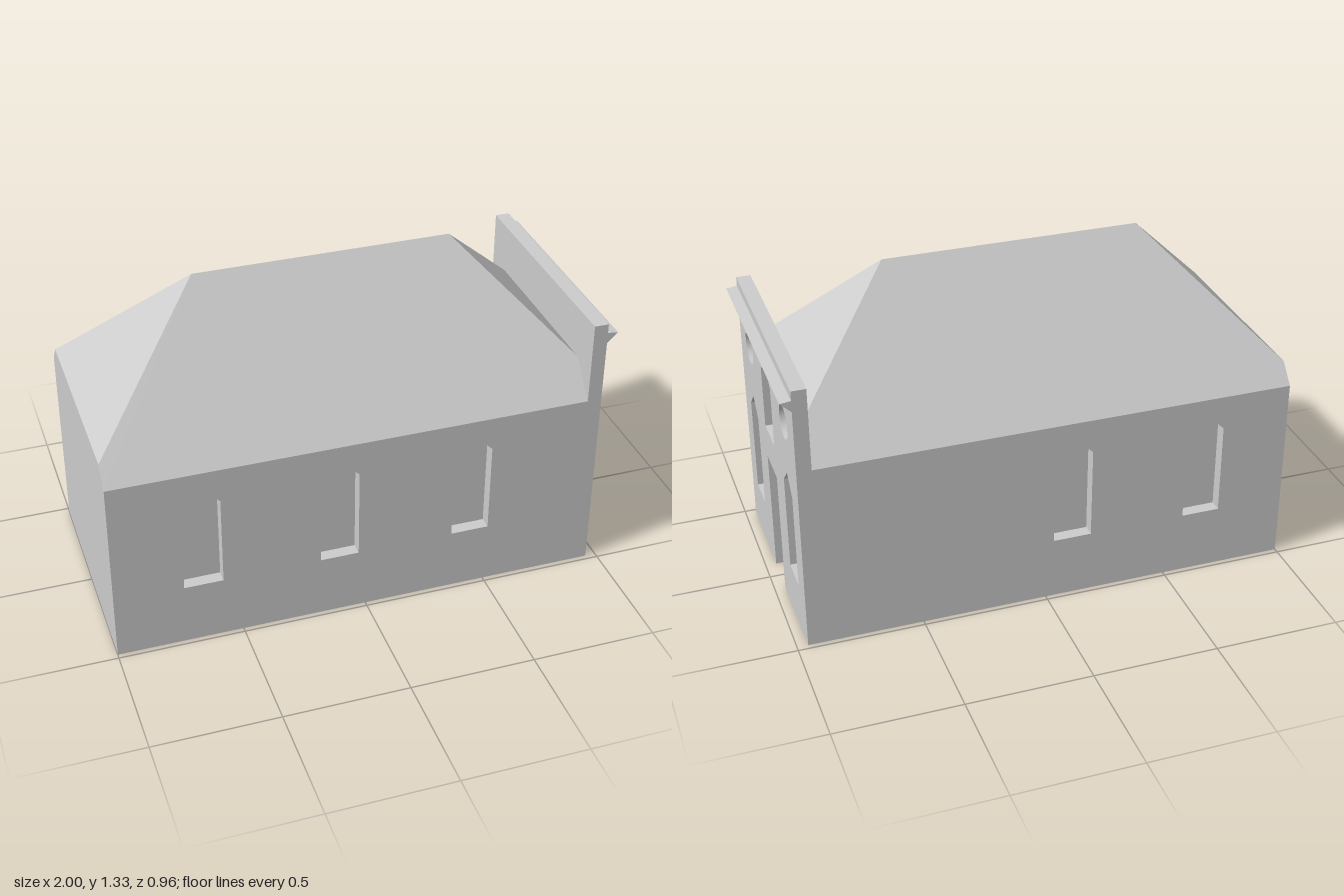
import * as THREE from 'three';

const HALF = 0.48;      // half depth of the building
const RECESS = 0.05;    // depth of windows and door
const FACE = 0.957;     // outer plane of the entrance facade
const PARAPET = 0.9;    // inner plane of the entrance facade
const EAVE = 0.77;
const TOP = 1.105;

const stone = new THREE.MeshStandardMaterial({ color: 0xcccccc });
stone.name = 'pale grey stone';

function add(parent, name, geometry) {
  const mesh = new THREE.Mesh(geometry, stone);
  mesh.name = name;
  parent.add(mesh);
  return mesh;
}

function outline(points) {
  return points.map(([x, y]) => new THREE.Vector2(x, y));
}

// Window opening with a pointed head
function pointedHole(cx, half, sill, shoulder, peak) {
  return new THREE.Path(outline([
    [cx - half, sill], [cx - half, shoulder], [cx, peak], [cx + half, shoulder], [cx + half, sill],
  ]));
}

function box(x0, x1, y0, y1, z0, z1) {
  return new THREE.BoxGeometry(x1 - x0, y1 - y0, z1 - z0)
    .translate((x0 + x1) / 2, (y0 + y1) / 2, (z0 + z1) / 2);
}

function extrude(shape, depth) {
  return new THREE.ExtrudeGeometry(shape, { depth, bevelEnabled: false, curveSegments: 32 });
}

// Long wall skin, pierced by pointed windows
function sideWall(x0, x1, windows) {
  const shape = new THREE.Shape(outline([[x0, 0], [x1, 0], [x1, EAVE], [x0, EAVE]]));
  windows.forEach((x) => shape.holes.push(pointedHole(x, 0.077, 0.257, 0.63, 0.705)));
  return extrude(shape, RECESS);
}

// Entrance skin: door notch, pointed windows and round windows
function facadeSkin() {
  const door = 0.083, lintel = 0.512;
  const shape = new THREE.Shape(outline([
    [-HALF, 0], [-door, 0], [-door, lintel], [door, lintel], [door, 0],
    [HALF, 0], [HALF, TOP], [-HALF, TOP],
  ]));
  shape.holes.push(pointedHole(0, 0.08, 0.652, 0.9, 0.978));
  for (const s of [-1, 1]) {
    shape.holes.push(pointedHole(s * 0.301, 0.07, 0.205, 0.597, 0.665));
    shape.holes.push(new THREE.Path().absarc(s * 0.301, 0.883, 0.068, 0, Math.PI * 2, true));
  }
  return extrude(shape, RECESS);
}

// Hipped roof, with its ends cut off vertically above the eaves
function roofGeometry() {
  const side = [
    [-1, EAVE, HALF], [PARAPET, EAVE, HALF], [PARAPET, 0.905, 0.363],
    [0.49, 1.325, 0], [-0.53, 1.325, 0], [-1, 0.845, 0.415],
  ];
  const mirrored = side.map(([x, y, z]) => [x, y, -z]);
  const faces = [
    side,
    [...mirrored].reverse(),
    [mirrored[5], side[5], side[4]],               // left hip
    [mirrored[0], side[0], side[5], mirrored[5]],  // left end
    [side[2], mirrored[2], side[3]],               // right hip
  ];
  const positions = [];
  for (const f of faces) {
    for (let i = 1; i < f.length - 1; i++) positions.push(...f[0], ...f[i], ...f[i + 1]);
  }
  const geometry = new THREE.BufferGeometry();
  geometry.setAttribute('position', new THREE.Float32BufferAttribute(positions, 3));
  geometry.computeVertexNormals();
  return geometry;
}

export function createModel() {
  const model = new THREE.Group();
  model.name = 'chapel';

  // Hall: solid core with a pierced skin on each long side
  const inner = HALF - RECESS;
  const back = FACE - RECESS;
  add(model, 'hallCore', box(-1, back, 0, EAVE, -inner, inner));
  add(model, 'frontWall', sideWall(-1, PARAPET, [-0.65, -0.107, 0.433])).position.z = inner;
  const rear = add(model, 'backWall', sideWall(-PARAPET, 1, [0.65, 0.107]));
  rear.rotation.y = Math.PI;
  rear.position.z = -inner;

  add(model, 'roof', roofGeometry());

  // Entrance facade rising to a parapet
  const facade = new THREE.Group();
  facade.name = 'facade';
  model.add(facade);
  add(facade, 'facadeBacking', box(PARAPET, back, 0, TOP, -HALF, HALF));
  const skin = add(facade, 'facadeWall', facadeSkin());
  skin.rotation.y = Math.PI / 2;
  skin.position.x = back;

  // Cornice with a sloping underside
  const profile = new THREE.Shape(outline([[FACE, 1.022], [1, 1.062], [FACE, 1.067]]));
  add(facade, 'cornice', extrude(profile, HALF * 2)).position.z = -HALF;

  return model;
}
